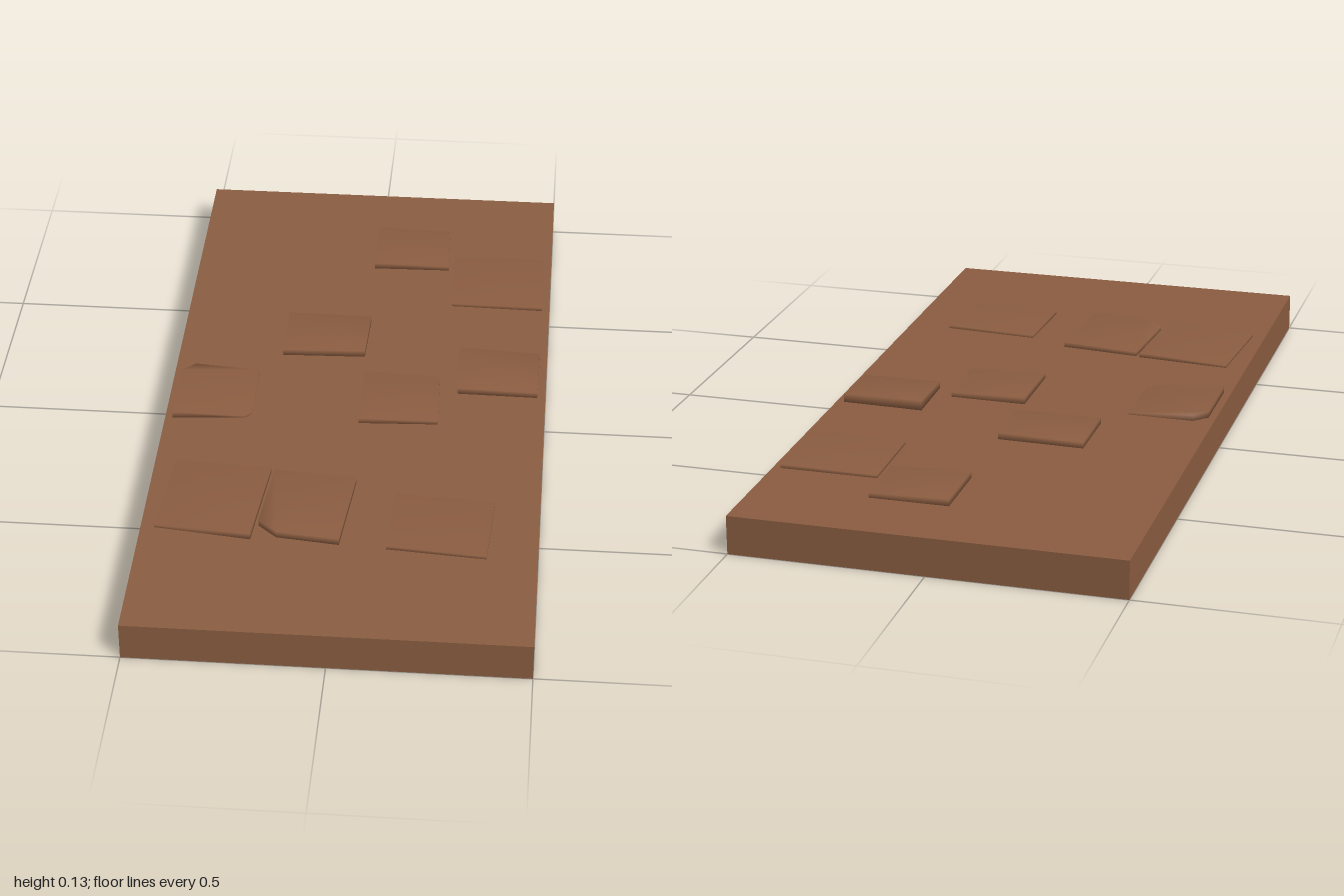
import * as THREE from 'three';

// Stone outlines, clockwise from the back-left corner: [x, z, top height above the slab]
const STONES = [
  [[0, -0.8, 0.018], [0.205, -0.8, 0.013], [0.21, -0.615, 0.012], [0, -0.61, 0.017]],
  [[0.225, -0.675, 0.008], [0.48, -0.675, 0.01], [0.48, -0.43, 0.01], [0.228, -0.435, 0.008]],
  [[-0.218, -0.345, 0.016], [0.01, -0.34, 0.018], [0.005, -0.17, 0.019], [-0.218, -0.162, 0.017]],
  [[0.262, -0.195, 0.028], [0.48, -0.188, 0.023], [0.478, -0.015, 0.016], [0.265, -0.018, 0.018]],
  [[-0.48, -0.045, 0.018], [-0.445, -0.08, 0.016], [-0.272, -0.078, 0.005], [-0.272, 0.115, 0.004],
    [-0.29, 0.135, 0.005], [-0.48, 0.15, 0.018]],
  [[0.012, -0.078, 0.018], [0.215, -0.075, 0.013], [0.22, 0.125, 0.01], [0.012, 0.135, 0.014]],
  [[-0.445, 0.34, 0.007], [-0.195, 0.362, 0.012], [-0.22, 0.645, 0.017], [-0.465, 0.615, 0.007]],
  [[-0.185, 0.368, 0.012], [0.027, 0.39, 0.014], [0.003, 0.65, 0.019], [-0.155, 0.632, 0.018], [-0.205, 0.588, 0.017]],
  [[0.132, 0.438, 0.007], [0.385, 0.458, 0.008], [0.372, 0.678, 0.008], [0.122, 0.658, 0.01]],
];
const TOP = 0.1;

// Closed slab with shared vertices, so the shading rolls over its edges
function stoneGeometry(corners) {
  const n = corners.length, pos = [], idx = [];
  for (const [x, z, h] of corners) pos.push(x, TOP + h, z);
  for (const [x, z] of corners) pos.push(x, TOP - 0.005, z);
  for (let i = 0; i < n; i++) {
    const j = (i + 1) % n;
    idx.push(i, j, n + i, j, n + j, n + i);
    if (i > 0 && i < n - 1) idx.push(0, j, i, n, n + i, n + j);
  }
  const g = new THREE.BufferGeometry();
  g.setAttribute('position', new THREE.Float32BufferAttribute(pos, 3));
  g.setIndex(idx);
  g.computeVertexNormals();
  return g;
}

export function createModel() {
  const earth = new THREE.MeshStandardMaterial({ name: 'earth brown', color: 0x8b5d41, side: THREE.DoubleSide });
  const model = new THREE.Group();
  model.name = 'stonyGround';

  // Ground slab: a box shell, open underneath
  const box = new THREE.BoxGeometry(1, TOP, 2);
  const faces = Array.from(box.index.array);
  faces.splice(18, 6);
  box.setIndex(faces);
  box.clearGroups();
  const ground = new THREE.Mesh(box, earth);
  ground.name = 'groundSlab';
  ground.position.y = TOP / 2;
  model.add(ground);

  // Tilted paving stones
  const stones = new THREE.Group();
  stones.name = 'stones';
  STONES.forEach((corners, i) => {
    const stone = new THREE.Mesh(stoneGeometry(corners), earth);
    stone.name = `stone${i + 1}`;
    stones.add(stone);
  });
  model.add(stones);
  return model;
}
